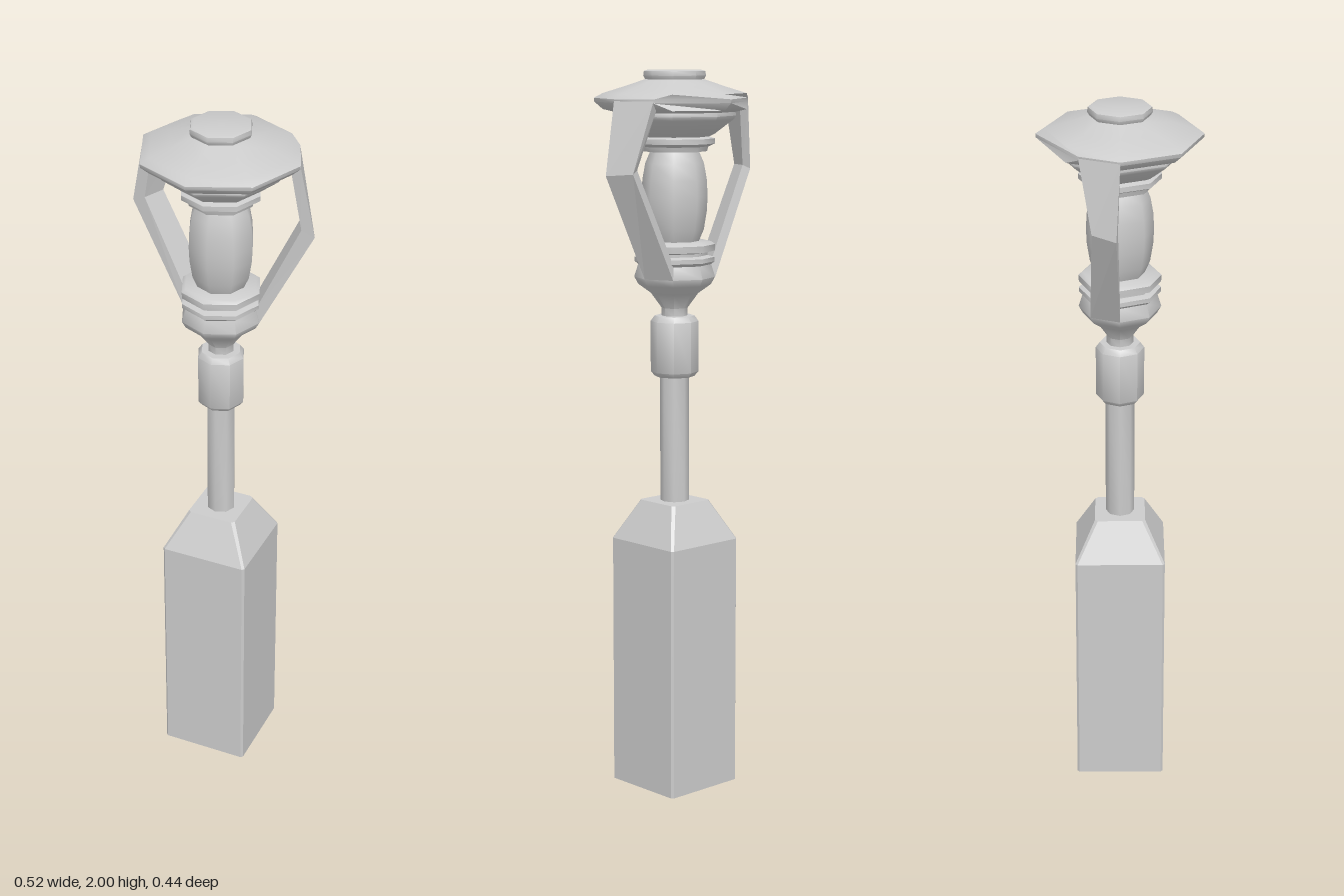
import * as THREE from 'three';
import { toCreasedNormals } from 'three/addons/utils/BufferGeometryUtils.js';

const material = new THREE.MeshStandardMaterial({ color: 0xcccccc, side: THREE.DoubleSide });

function add(group, name, geometry) {
  const mesh = new THREE.Mesh(geometry, material);
  mesh.name = name;
  group.add(mesh);
  return mesh;
}

// Eight-sided turned part from [radius, height] pairs, bottom to top
function turned(profile) {
  return new THREE.LatheGeometry(profile.map(([r, y]) => new THREE.Vector2(r, y)), 8);
}
const crease = (geometry) => toCreasedNormals(geometry, THREE.MathUtils.degToRad(48));

// Flat-faced skin through closed rings of [x, y, z] points
function loft(rings, capTop = false) {
  const pos = [];
  const n = rings[0].length;
  const tri = (...pts) => pts.forEach((p) => pos.push(...p));
  for (let i = 0; i < rings.length - 1; i++) {
    for (let j = 0; j < n; j++) {
      const k = (j + 1) % n;
      const [a, b, c, d] = [rings[i][j], rings[i][k], rings[i + 1][k], rings[i + 1][j]];
      tri(a, b, c);
      tri(a, c, d);
    }
  }
  if (capTop) {
    const top = rings[rings.length - 1];
    for (let j = 1; j < n - 1; j++) tri(top[0], top[j], top[j + 1]);
  }
  const geometry = new THREE.BufferGeometry();
  geometry.setAttribute('position', new THREE.Float32BufferAttribute(pos, 3));
  geometry.computeVertexNormals();
  return geometry;
}

// Square ring with narrowly cut corners
function squareRing(h, y, cut) {
  const ring = [];
  for (let i = 0; i < 4; i++) {
    const a = (i * Math.PI) / 2;
    for (const t of [-(h - cut), h - cut]) {
      ring.push([h * Math.sin(a) + t * Math.cos(a), y, h * Math.cos(a) - t * Math.sin(a)]);
    }
  }
  return ring;
}

export function createModel() {
  const group = new THREE.Group();

  // Square pedestal, open underneath
  add(group, 'pedestal', loft([
    squareRing(0.125, 0, 0.006), squareRing(0.125, 0.705, 0.006), squareRing(0.07, 0.815, 0.008),
  ], true));

  add(group, 'pole', crease(turned([[0.04, 0.8], [0.04, 1.18]])));

  add(group, 'collar', crease(turned([
    [0, 1.165], [0.055, 1.165], [0.066, 1.178], [0.066, 1.318], [0.055, 1.333], [0, 1.335],
  ])));

  // Bowl and the stacked rings that hold the globe
  add(group, 'bowl', crease(turned([
    [0.036, 1.33], [0.036, 1.355], [0.065, 1.395], [0.1, 1.42], [0.111, 1.44],
    [0.1, 1.475], [0.11, 1.483], [0.11, 1.495], [0.09, 1.5], [0.09, 1.508],
    [0.11, 1.512], [0.111, 1.53], [0.1, 1.538], [0, 1.54],
  ])));

  add(group, 'globe', turned([
    [0.065, 1.535], [0.08, 1.57], [0.088, 1.62], [0.09, 1.66],
    [0.088, 1.705], [0.08, 1.75], [0.065, 1.785],
  ]));

  add(group, 'upperRings', crease(turned([
    [0, 1.78], [0.088, 1.782], [0.092, 1.795], [0.11, 1.803], [0.11, 1.817], [0.09, 1.823],
  ])));

  // Roof, with the two rear lip corners pulled forward to meet the arms
  const roof = turned([
    [0.09, 1.82], [0.11, 1.83], [0.16, 1.868], [0.167, 1.878], [0.165, 1.888],
    [0.195, 1.895], [0.218, 1.915], [0.219, 1.925], [0.195, 1.938], [0.14, 1.955],
    [0.08, 1.975], [0.085, 1.985], [0.083, 1.997], [0.075, 2], [0, 2],
  ]);
  const p = roof.attributes.position;
  for (let i = 0; i < p.count; i++) {
    const x = p.getX(i), z = p.getZ(i);
    if (Math.hypot(x, z) > 0.2 && z < -0.1 && Math.abs(x) > 0.1) {
      p.setX(i, Math.sign(x) * 0.175);
      p.setZ(i, -0.106);
    }
  }
  add(group, 'roof', crease(roof));

  // Bent arms: outer front, outer back, inner back, inner front at each station
  const stations = [
    [[0.111, 1.44, 0], [0.079, 1.44, -0.079], [0.07, 1.48, -0.07], [0.1, 1.48, 0]],
    [[0.258, 1.725, -0.01], [0.218, 1.73, -0.073], [0.196, 1.74, -0.065], [0.222, 1.74, -0.006]],
    [[0.219, 1.92, 0], [0.175, 1.92, -0.106], [0.155, 1.895, -0.095], [0.195, 1.895, 0]],
  ];
  add(group, 'leftArm', loft(stations));
  add(group, 'rightArm', loft(stations.map((ring) => ring.map(([x, y, z]) => [-x, y, z]).reverse())));

  return group;
}
